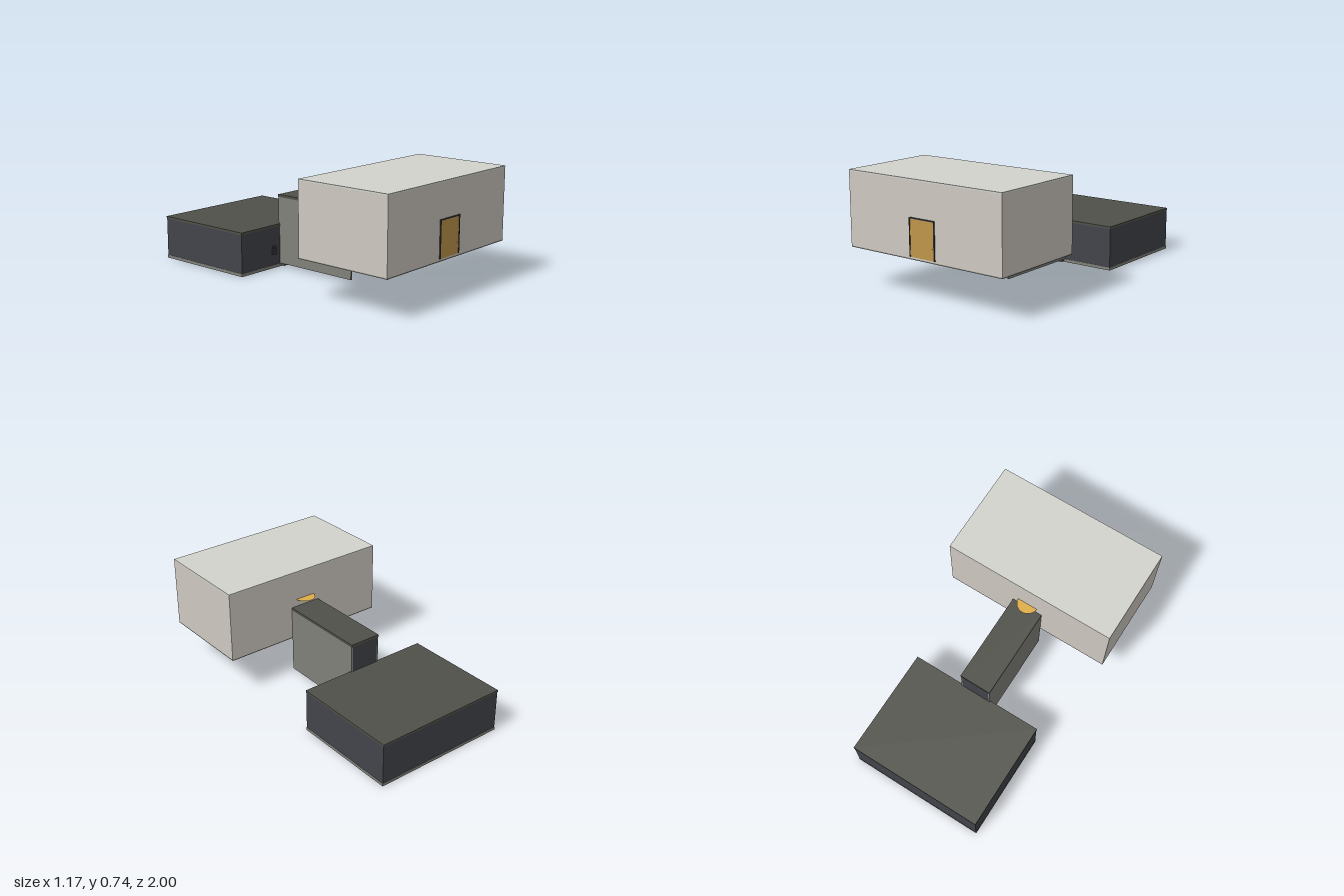
import * as THREE from 'three';

const paint = (color) => new THREE.MeshStandardMaterial({ color });

export function createModel() {
  const model = new THREE.Group();
  const plaster = paint(0xcec8c0), paleRoof = paint(0xd2d3cd), concrete = paint(0x80817a);
  const darkRoof = paint(0x50504a), slate = paint(0x42444a), ochre = paint(0xc0964a);
  const amber = paint(0xdfae48), trim = paint(0x36373c);
  amber.side = THREE.DoubleSide;

  // Box given by its extents on each axis
  function block(name, mat, [x0, x1], [y0, y1], [z0, z1], parent = model) {
    const mesh = new THREE.Mesh(new THREE.BoxGeometry(x1 - x0, y1 - y0, z1 - z0), mat);
    mesh.position.set((x0 + x1) / 2, (y0 + y1) / 2, (z0 + z1) / 2);
    mesh.name = name;
    parent.add(mesh);
    return mesh;
  }

  // Raised front hall
  const hall = [-0.585, 0.585];
  block('hallWalls', plaster, hall, [0.265, 0.725], [0.335, 0.993]);
  block('hallRoof', paleRoof, hall, [0.725, 0.735], [0.335, 0.993]);
  block('hallFloor', concrete, hall, [0.258, 0.265], [0.335, 0.993]);

  // Front door with a thin frame on three sides
  const door = new THREE.Group();
  door.name = 'frontDoor';
  model.add(door);
  block('doorLeaf', ochre, [-0.09, 0.09], [0.275, 0.505], [0.99, 0.997], door);
  for (const s of [-1, 1]) {
    block('doorJamb', trim, [s * 0.0935 - 0.0035, s * 0.0935 + 0.0035], [0.275, 0.51], [0.99, 1], door);
  }
  block('doorLintel', trim, [-0.097, 0.097], [0.503, 0.51], [0.99, 1], door);
  const knob = new THREE.Mesh(new THREE.SphereGeometry(0.004, 10, 8), ochre);
  knob.position.set(0.078, 0.345, 0.997);
  knob.name = 'doorKnob';
  door.add(knob);

  // Thin disc half emerging from the hall's rear wall
  const disc = new THREE.Mesh(new THREE.CircleGeometry(0.07, 32), amber);
  disc.rotation.x = -Math.PI / 2;
  disc.position.set(0, 0.535, 0.338);
  disc.name = 'rearDisc';
  model.add(disc);

  // Low rear building
  const rear = [-0.458, 0.458];
  block('rearBase', concrete, rear, [0, 0.02], [-1, -0.275]);
  block('rearWalls', slate, [-0.456, 0.456], [0.02, 0.275], [-0.998, -0.277]);
  block('rearRoof', darkRoof, rear, [0.275, 0.29], [-1, -0.275]);

  // Wall box beside the stair
  block('wallBox', trim, [-0.18, -0.14], [0.09, 0.135], [-0.28, -0.27]);
  block('wallBoxHood', trim, [-0.175, -0.145], [0.135, 0.152], [-0.28, -0.273]);

  // Stair passage: two side walls, roof and end panel, open underneath
  for (const s of [-1, 1]) {
    block('passageWall', concrete, [s * 0.102 - 0.005, s * 0.102 + 0.005], [0.022, 0.47], [-0.285, 0.335]);
  }
  block('passageRoof', darkRoof, [-0.108, 0.108], [0.468, 0.485], [-0.287, 0.335]);
  block('passageEnd', slate, [-0.098, 0.098], [0.28, 0.47], [-0.284, -0.275]);

  // Stair rising from the rear building to the hall
  const stair = new THREE.Group();
  stair.name = 'stair';
  model.add(stair);
  const steps = 16, rise = 0.255 / steps, run = 0.585 / steps;
  for (let i = 0; i < steps; i++) {
    const y = 0.004 + i * rise, z = -0.25 + i * run;
    block('step', darkRoof, [-0.097, 0.097], [y, y + rise * 0.97], [z - run * 0.75, z], stair);
    // Riser plate closing the gap to the next step
    block('riser', darkRoof, [-0.097, 0.097], [y, y + rise], [z - run, z - run * 0.75], stair);
  }
  return model;
}
